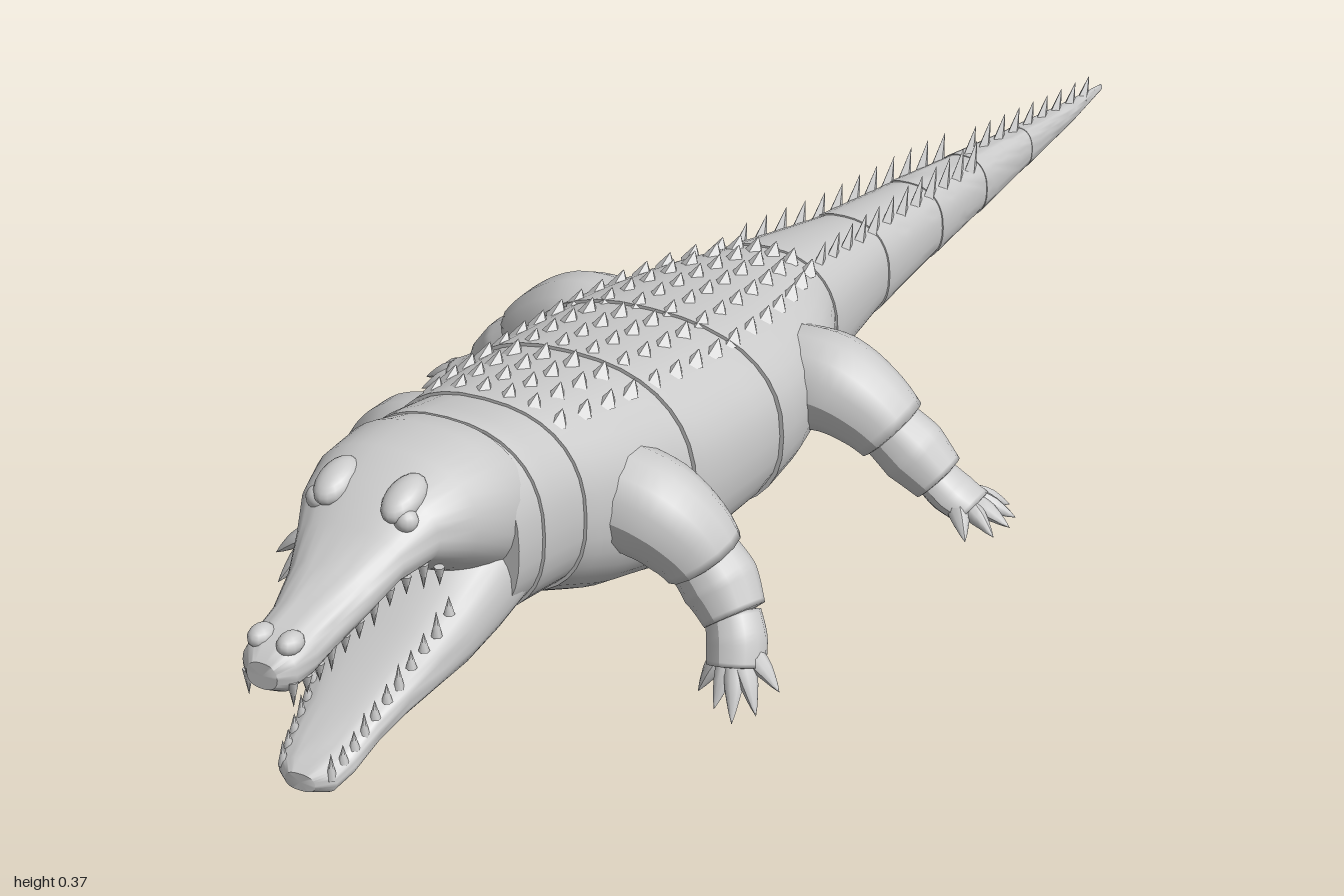
import * as THREE from 'three';
import { mergeGeometries, toCreasedNormals } from 'three/addons/utils/BufferGeometryUtils.js';

const material = new THREE.MeshStandardMaterial({ color: 0xcccccc, side: THREE.DoubleSide });

// Profiles: [z, half width, bottom y, top y], tail to nose
const BODY = [
  [-1, 0.002, 0.048, 0.056], [-0.9, 0.01, 0.044, 0.072], [-0.75, 0.02, 0.045, 0.1], [-0.59, 0.034, 0.05, 0.13],
  [-0.44, 0.047, 0.057, 0.158], [-0.27, 0.06, 0.06, 0.188], [-0.08, 0.088, 0.06, 0.232], [-0.03, 0.112, 0.058, 0.242],
  [0.03, 0.135, 0.053, 0.252], [0.12, 0.156, 0.047, 0.268], [0.22, 0.165, 0.045, 0.285], [0.32, 0.16, 0.047, 0.302],
  [0.4, 0.15, 0.055, 0.317], [0.48, 0.138, 0.08, 0.33], [0.56, 0.12, 0.118, 0.342], [0.62, 0.115, 0.13, 0.354], [0.68, 0.108, 0.14, 0.358],
];
const UPPER = [
  [0.64, 0.1, 0.19, 0.358], [0.68, 0.106, 0.2, 0.37], [0.74, 0.098, 0.235, 0.37], [0.79, 0.082, 0.265, 0.355],
  [0.83, 0.064, 0.262, 0.325], [0.87, 0.05, 0.242, 0.3], [0.92, 0.039, 0.226, 0.282], [0.955, 0.037, 0.218, 0.276],
  [0.985, 0.032, 0.216, 0.268], [1, 0.018, 0.225, 0.255],
];
const LOWER = [
  [0.64, 0.1, 0.14, 0.27], [0.69, 0.1, 0.13, 0.262], [0.74, 0.09, 0.118, 0.225], [0.78, 0.075, 0.11, 0.19],
  [0.82, 0.06, 0.1, 0.16], [0.86, 0.048, 0.088, 0.132], [0.9, 0.042, 0.073, 0.11], [0.925, 0.035, 0.066, 0.1], [0.94, 0.018, 0.072, 0.092],
];

function profileAt(table, z) {
  let i = 0;
  while (i < table.length - 2 && z > table[i + 1][0]) i++;
  const a = table[i], b = table[i + 1];
  const t = (z - a[0]) / (b[0] - a[0]);
  return a.map((v, k) => v + (b[k] - v) * t);
}

// Closed skin over superellipse rings, z rising
function loft(rows, power = 2.4, sides = 36) {
  const pos = [], index = [];
  const bend = (v) => Math.sign(v) * Math.abs(v) ** (2 / power);
  for (const [z, w, lo, hi] of rows) {
    for (let j = 0; j < sides; j++) {
      const a = (j / sides) * Math.PI * 2;
      pos.push(w * bend(Math.cos(a)), (lo + hi) / 2 + ((hi - lo) / 2) * bend(Math.sin(a)), z);
    }
  }
  const first = rows[0], last = rows[rows.length - 1];
  const c0 = pos.length / 3, end = (rows.length - 1) * sides;
  for (const r of [first, last]) pos.push(0, (r[2] + r[3]) / 2, r[0]);
  for (let j = 0; j < sides; j++) {
    const k = (j + 1) % sides;
    for (let i = 0; i < rows.length - 1; i++) {
      const a = i * sides, b = a + sides;
      index.push(a + j, a + k, b + k, a + j, b + k, b + j);
    }
    index.push(c0, k, j, c0 + 1, end + j, end + k);
  }
  const g = new THREE.BufferGeometry();
  g.setAttribute('position', new THREE.Float32BufferAttribute(pos, 3));
  g.setIndex(index);
  return toCreasedNormals(g, 0.8);
}

// Tube whose radius follows the points [x, y, z, r], closed at both ends
function taper(points, side = 1, steps = 16, sides = 14, flat = 1) {
  const curve = new THREE.CatmullRomCurve3(points.map(([x, y, z]) => new THREE.Vector3(x * side, y, z)));
  const g = new THREE.TubeGeometry(curve, steps, 1, sides);
  const p = g.attributes.position, v = new THREE.Vector3();
  for (let i = 0; i <= steps; i++) {
    const c = curve.getPointAt(i / steps);
    const t = curve.getUtoTmapping(i / steps) * (points.length - 1);
    const k = Math.min(Math.floor(t), points.length - 2);
    const r = i % steps === 0 ? 0 : THREE.MathUtils.lerp(points[k][3], points[k + 1][3], t - k);
    for (let j = 0; j <= sides; j++) {
      const n = i * (sides + 1) + j;
      v.fromBufferAttribute(p, n).sub(c).multiplyScalar(r);
      v.y *= flat;
      v.add(c);
      p.setXYZ(n, v.x, v.y, v.z);
    }
  }
  g.computeVertexNormals();
  return g;
}

// Four-sided spike with its tip swept back
function spike(x, y, z, width, height, length, sweep) {
  const g = new THREE.ConeGeometry(1, 1, 4).translate(0, 0.5, 0);
  const p = g.attributes.position;
  for (let i = 0; i < p.count; i++) p.setZ(i, p.getZ(i) - p.getY(i) * sweep);
  g.scale(width, height, length).translate(x, y, z);
  const flat = g.toNonIndexed();
  flat.computeVertexNormals();
  return flat;
}

function surfaceY(x, z) {
  const [, w, lo, hi] = profileAt(BODY, z);
  return (lo + hi) / 2 + ((hi - lo) / 2) * Math.max(0, 1 - Math.abs(x / w) ** 2.4) ** (1 / 2.4);
}

export function createModel() {
  const model = new THREE.Group();
  const add = (name, geometry, parent = model) => {
    const mesh = new THREE.Mesh(geometry, material);
    mesh.name = name;
    parent.add(mesh);
    return mesh;
  };

  // Body and tail in overlapping bands
  const seams = [-1, -0.75, -0.59, -0.44, -0.27, -0.08, 0.2, 0.38, 0.56, 0.635, 0.68];
  for (let s = 0; s < seams.length - 1; s++) {
    const rows = [], n = 8;
    for (let i = 0; i <= n; i++) {
      const [z, w, lo, hi] = profileAt(BODY, THREE.MathUtils.lerp(seams[s], seams[s + 1], i / n));
      const grow = 0.985 + 0.03 * (i / n), mid = (lo + hi) / 2, h = ((hi - lo) / 2) * grow;
      rows.push([z, w * grow, mid - h, mid + h]);
    }
    add(s < 5 ? 'tailBand' : s < 8 ? 'bodyBand' : 'neckBand', loft(rows));
  }

  // Head with open jaws
  add('upperJaw', loft(UPPER, 2.3));
  add('lowerJaw', loft(LOWER, 2.5));
  for (const side of [1, -1]) {
    add('brow', new THREE.SphereGeometry(1, 16, 12).scale(0.02, 0.016, 0.034).rotateX(0.3).translate(side * 0.04, 0.347, 0.788));
    add('eye', new THREE.SphereGeometry(0.013, 14, 10).translate(side * 0.052, 0.333, 0.805));
    add('nostril', new THREE.SphereGeometry(1, 12, 10).scale(0.013, 0.012, 0.018).translate(side * 0.017, 0.268, 0.972));
  }

  // Teeth along both jaws
  const teeth = [];
  for (const side of [1, -1]) {
    for (let i = 0; i < 11; i++) {
      const size = 0.022 + 0.008 * (i % 3 === 1);
      const [zu, wu, bottom] = profileAt(UPPER, 0.775 + i * 0.021);
      teeth.push(new THREE.ConeGeometry(0.006, size, 6).rotateX(Math.PI).translate(side * wu * 0.82, bottom + 0.002, zu));
      const [zl, wl, , top] = profileAt(LOWER, 0.755 + i * 0.017);
      teeth.push(new THREE.ConeGeometry(0.006, size, 6).translate(side * wl * 0.82, top + 0.001, zl));
    }
  }
  add('teeth', mergeGeometries(teeth));

  // Rows of low scutes over the back
  const scutes = [];
  for (let r = 0; r < 15; r++) {
    const z = 0.54 - r * 0.043;
    const w = profileAt(BODY, z)[1];
    for (let c = -2.5; c <= 2.5; c++) {
      const x = c * w * 0.24;
      scutes.push(spike(x, surfaceY(x, z) - 0.004, z, 0.012, 0.014, 0.02, 0.7));
    }
  }
  add('backScutes', mergeGeometries(scutes));

  // Tail crest: two rows meeting in one
  const crest = [];
  for (let i = 0; i < 21; i++) {
    const z = -0.1 - i * 0.042, w = profileAt(BODY, z)[1];
    const height = 0.038 - 0.012 * Math.abs(i / 10 - 1);
    for (const side of i < 12 ? [1, -1] : [0]) {
      const x = side * w * 0.6;
      crest.push(spike(x, surfaceY(x, z) - 0.008, z, 0.007, height, 0.022, 1));
    }
  }
  add('tailCrest', mergeGeometries(crest));

  // Legs: upper part, lower part, foot, clawed toes
  const legs = {
    frontLeg: {
      upper: [[0.09, 0.215, 0.468, 0.06], [0.15, 0.2, 0.463, 0.058], [0.185, 0.172, 0.455, 0.052], [0.207, 0.142, 0.45, 0.045]],
      lower: [[0.195, 0.155, 0.45, 0.04], [0.222, 0.125, 0.453, 0.043], [0.247, 0.092, 0.463, 0.034]],
      foot: [[0.24, 0.102, 0.46, 0.03], [0.252, 0.075, 0.472, 0.033], [0.258, 0.045, 0.485, 0.032]], flat: 1,
      toes: [[0.22, 0.015, 0.5], [0.25, 0.012, 0.52], [0.275, 0.004, 0.527], [0.298, 0.014, 0.515], [0.314, 0.036, 0.492]],
    },
    rearLeg: {
      upper: [[0.09, 0.165, 0.07, 0.06], [0.16, 0.168, 0.07, 0.058], [0.205, 0.148, 0.068, 0.05], [0.24, 0.118, 0.065, 0.042]],
      lower: [[0.225, 0.13, 0.066, 0.036], [0.258, 0.103, 0.063, 0.04], [0.292, 0.072, 0.06, 0.031]],
      foot: [[0.28, 0.08, 0.06, 0.028], [0.306, 0.061, 0.06, 0.032], [0.335, 0.047, 0.06, 0.03]], flat: 0.6,
      toes: [[0.345, 0.032, 0.108], [0.37, 0.034, 0.087], [0.378, 0.036, 0.062], [0.374, 0.036, 0.038], [0.355, 0.036, 0.014]],
    },
  };
  for (const [name, leg] of Object.entries(legs)) {
    for (const side of [1, -1]) {
      const group = new THREE.Group();
      group.name = name;
      model.add(group);
      add('upperLeg', taper(leg.upper, side), group);
      add('lowerLeg', taper(leg.lower, side), group);
      add('foot', taper(leg.foot, side, 14, 14, leg.flat), group);
      const [fx, fy, fz] = leg.foot[1];
      for (const [x, y, z] of leg.toes) {
        const mid = [fx * 0.4 + x * 0.6, fy * 0.4 + y * 0.6 + 0.004, fz * 0.4 + z * 0.6, 0.011];
        add('toe', taper([[fx, fy, fz, 0.016], mid, [x, y, z, 0.001]], side, 8, 8), group);
      }
    }
  }
  return model;
}
